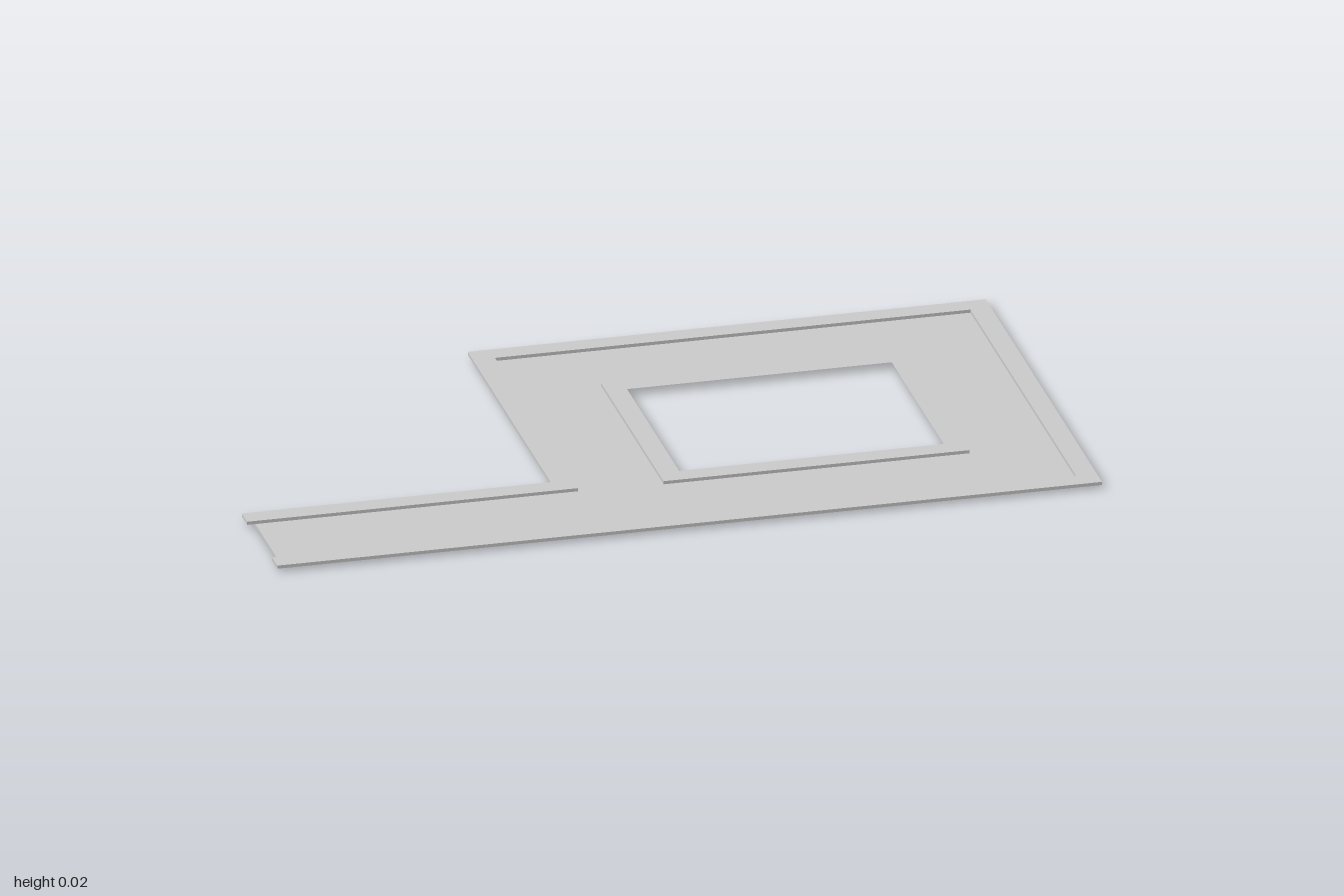
import * as THREE from 'three';

const material = new THREE.MeshStandardMaterial({ color: 0xcccccc });

const rect = (x0, z0, x1, z1) => [[x0, z0], [x1, z0], [x1, z1], [x0, z1]];
const toPoints = (pts) => pts.map(([x, z]) => new THREE.Vector2(x, -z));

// Flat slab from a plan outline (x, z) between two heights
function slab(name, outline, hole, y0, y1) {
  const shape = new THREE.Shape(toPoints(outline));
  if (hole) shape.holes.push(new THREE.Path(toPoints(hole)));
  const geometry = new THREE.ExtrudeGeometry(shape, { depth: y1 - y0, bevelEnabled: false });
  geometry.rotateX(-Math.PI / 2);
  geometry.translate(0, y0, 0);
  const mesh = new THREE.Mesh(geometry, material);
  mesh.name = name;
  return mesh;
}

export function createModel() {
  const group = new THREE.Group();
  group.name = 'roadLoop';
  const roadTop = 0.009, kerbTop = 0.017;

  // Road deck: a square loop with a straight branch, set in under the kerbs
  const road = [
    [-0.98, 0.28], [-0.205, 0.28], [-0.205, -0.51],
    [0.955, -0.51], [0.955, 0.507], [-0.98, 0.507],
  ];
  group.add(slab('road', road, rect(0.01, -0.295, 0.74, 0.29), 0, roadTop));

  // Raised outer kerb, open at the end of the branch
  const outerKerb = [
    [-1, 0.235], [-0.253, 0.235], [-0.253, -0.554], [1, -0.554], [1, 0.552], [-0.995, 0.552],
    [-0.995, 0.502], [0.95, 0.502], [0.95, -0.504], [-0.2, -0.504], [-0.2, 0.285], [-1, 0.285],
  ];
  group.add(slab('outerKerb', outerKerb, null, roadTop, kerbTop));

  // Raised kerb around the central opening
  group.add(slab('innerKerb', rect(0.005, -0.3, 0.745, 0.295),
    rect(0.055, -0.25, 0.695, 0.245), roadTop, kerbTop));

  return group;
}
